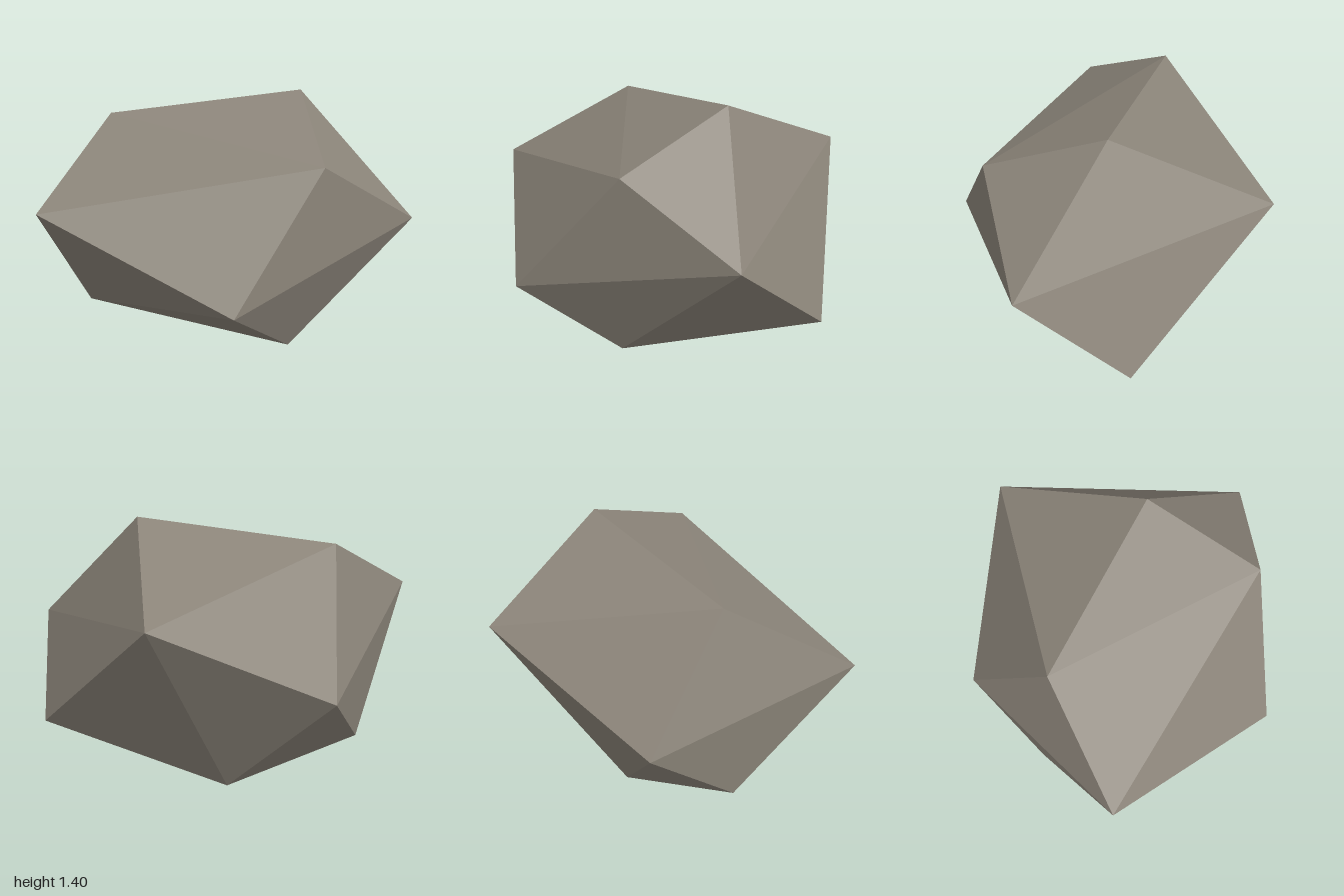
import * as THREE from 'three';
import { ConvexGeometry } from 'three/addons/geometries/ConvexGeometry.js';

// Corners of the boulder, from the crown down to the base
const corners = [
  [0.47, 1.40, 0.03], [-0.46, 1.29, -0.33], [0.28, 1.14, 0.63],
  [0.60, 1.09, -0.75], [-1.00, 0.91, 0.05], [0.89, 0.77, 0.50],
  [-0.32, 0.63, -0.79], [-0.28, 0.50, 0.78], [1.00, 0.37, -0.05],
  [-0.58, 0.245, -0.40], [0.17, 0.18, 0.49], [0.10, 0.00, -0.32],
];

export function createModel() {
  const group = new THREE.Group();
  group.name = 'rock';

  const stone = new THREE.MeshStandardMaterial({ color: 0x8b8479, flatShading: true });
  stone.name = 'warm grey stone';

  // Faceted boulder: the hull around its corners
  const points = corners.map((c) => new THREE.Vector3(...c));
  const boulder = new THREE.Mesh(new ConvexGeometry(points), stone);
  boulder.name = 'boulder';
  group.add(boulder);

  return group;
}
